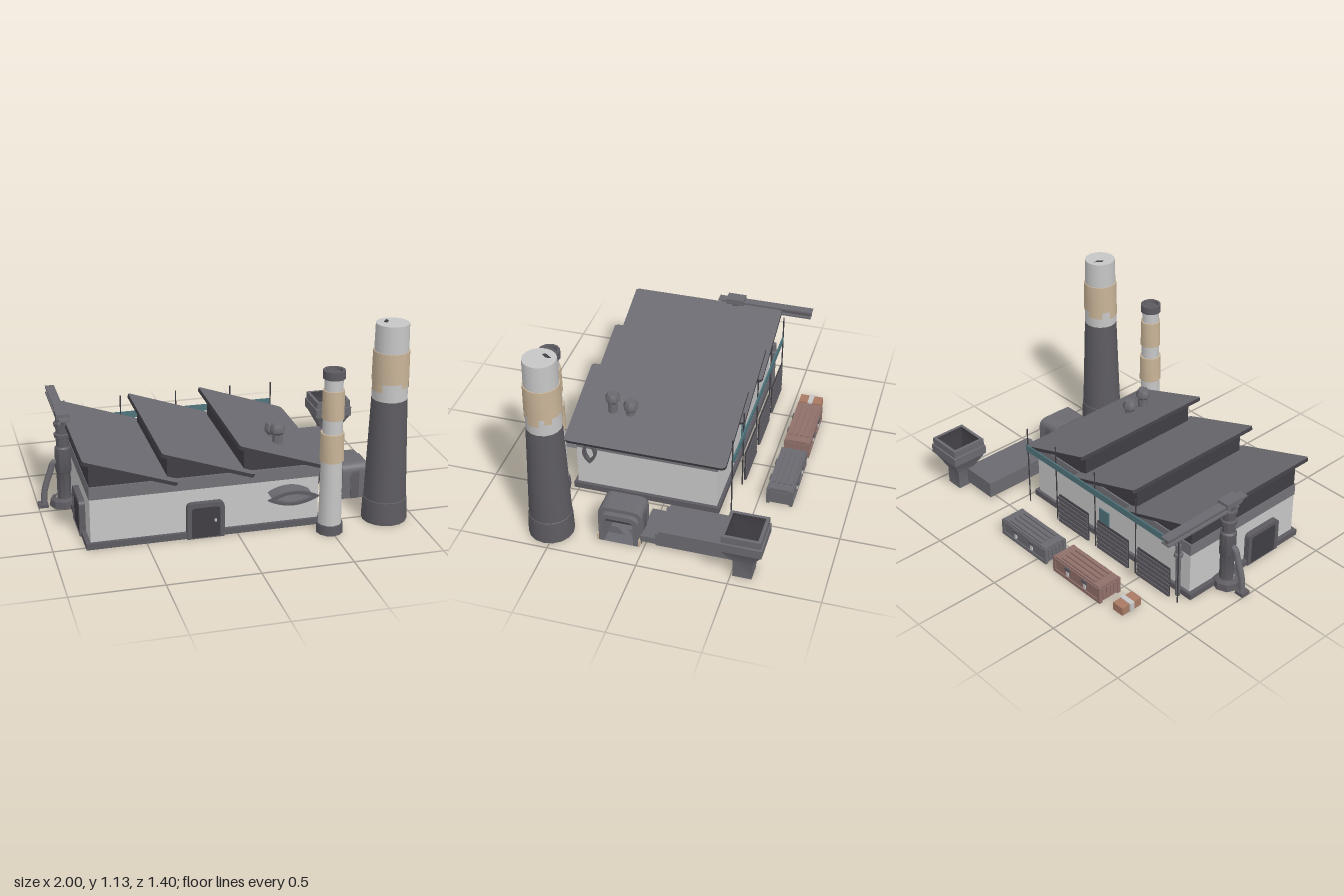
import * as THREE from 'three';
import { toCreasedNormals } from 'three/addons/utils/BufferGeometryUtils.js';

const mat = (name, color, extra = {}) => Object.assign(new THREE.MeshStandardMaterial({ color, ...extra }), { name });

export function createModel() {
  const root = new THREE.Group();
  root.name = 'factory';
  const light = mat('paleConcrete', 0xc6c6c7);
  const metal = mat('greyMetal', 0x6b6a70);
  const trim = mat('darkTrim', 0x5d5b61);
  const dark = mat('charcoal', 0x403e43);
  const band = mat('upperWallGrey', 0x737278);
  const beige = mat('beigePaint', 0xc9b498, { side: THREE.DoubleSide });
  const brown = mat('brownCrate', 0x90706a);
  const rust = mat('rustBrown', 0xa97a64);
  const teal = mat('tealPaint', 0x4f747c);

  const add = (name, geo, m, x = 0, y = 0, z = 0, parent = root) => {
    const mesh = new THREE.Mesh(geo, m);
    mesh.name = name;
    mesh.position.set(x, y, z);
    parent.add(mesh);
    return mesh;
  };
  const box = (name, m, x0, x1, y0, y1, z0, z1) =>
    add(name, new THREE.BoxGeometry(x1 - x0, y1 - y0, z1 - z0), m, (x0 + x1) / 2, (y0 + y1) / 2, (z0 + z1) / 2);
  const turned = (name, m, pts, x, z, seg = 14, phi = 0) => {
    const g = new THREE.LatheGeometry(pts.map(p => new THREE.Vector2(...p)), seg, phi);
    return add(name, toCreasedNormals(g, 0.6), m, x, 0, z);
  };
  const extrude = (shape, depth) =>
    toCreasedNormals(new THREE.ExtrudeGeometry(shape, { depth, bevelEnabled: false, curveSegments: 5 }), 0.6);
  const tube = (name, m, pts, r) =>
    add(name, new THREE.TubeGeometry(new THREE.CatmullRomCurve3(pts.map(p => new THREE.Vector3(...p))), 16, r, 8), m);
  // Outline with rounded upper corners, standing on y = 0
  const archPath = (path, w, h, r) => {
    path.moveTo(-w, 0); path.lineTo(w, 0); path.lineTo(w, h - r);
    path.quadraticCurveTo(w, h, w - r, h); path.lineTo(r - w, h);
    path.quadraticCurveTo(-w, h, -w, h - r); path.lineTo(-w, 0);
    return path;
  };
  const frame = (w, h, r, t, depth) => {
    const s = archPath(new THREE.Shape(), w, h, r);
    s.holes.push(archPath(new THREE.Path(), w - t, h - t, r * 0.6));
    return extrude(s, depth);
  };

  // Walls and skirting
  box('lowerWall', light, -0.8, 0.46, 0.02, 0.28, -0.3, 0.51);
  box('upperWall', band, -0.803, 0.463, 0.28, 0.352, -0.303, 0.513);
  box('skirting', trim, -0.825, 0.48, 0, 0.035, -0.318, 0.53);

  // Sawtooth gables and roof slabs
  const rise = 0.175, run = 0.51, pitch = Math.atan2(rise, run), slope = Math.hypot(rise, run);
  const saw = new THREE.Shape();
  saw.moveTo(-0.8, 0.345);
  for (let k = 0; k < 3; k++) {
    const x = -0.8 + 0.42 * k;
    saw.lineTo(x, 0.49);
    saw.lineTo(x + 0.42, 0.349);
  }
  saw.lineTo(0.46, 0.345);
  add('sawtoothGable', extrude(saw, 0.8), dark, 0, 0, -0.295);
  const slab = new THREE.Shape();
  const hw = 0.462, c = 0.03;
  slab.moveTo(0.01, -hw); slab.lineTo(slope - c, -hw);
  slab.quadraticCurveTo(slope, -hw, slope, c - hw); slab.lineTo(slope, hw - c);
  slab.quadraticCurveTo(slope, hw, slope - c, hw); slab.lineTo(0.01, hw);
  slab.lineTo(0, hw - 0.015); slab.lineTo(0, 0.015 - hw); slab.closePath();
  const slabGeo = new THREE.ExtrudeGeometry(slab, { depth: 0.02, bevelEnabled: false, curveSegments: 4 });
  slabGeo.rotateX(-Math.PI / 2).rotateZ(-pitch);
  for (let k = 0; k < 3; k++) add('roofSlab', slabGeo, [metal, dark], -0.845 + 0.42 * k, 0.507, 0.105);

  // Roof vents
  for (const [z, t] of [[0.355, 0.545], [0.25, 0.51]]) {
    turned('roofVent', metal, [[0.032, 0.4], [0.028, t - 0.06], [0.042, t - 0.045], [0.043, t - 0.025], [0.03, t], [0, t]], 0.27, z, 8);
  }

  // Front door and matching door on the right-hand wall
  add('doorFrame', frame(0.103, 0.206, 0.03, 0.025, 0.035), trim, -0.178, 0, 0.508);
  box('door', dark, -0.255, -0.1, 0.0, 0.185, 0.5, 0.532);
  box('doorHandle', light, -0.128, -0.118, 0.09, 0.105, 0.532, 0.539);
  add('sideDoorFrame', frame(0.12, 0.206, 0.03, 0.025, 0.035), trim, -0.798, 0, 0.24).rotation.y = -Math.PI / 2;
  box('sideDoor', dark, -0.828, -0.79, 0, 0.185, 0.143, 0.337);

  // Lens-shaped window hoods
  const lensPath = (p, w, h) => {
    p.moveTo(-w, 0); p.quadraticCurveTo(-w * 0.5, -h, 0, -h); p.quadraticCurveTo(w * 0.5, -h, w, 0);
    p.quadraticCurveTo(w * 0.5, h, 0, h); p.quadraticCurveTo(-w * 0.5, h, -w, 0);
    return p;
  };
  const lens = (w, h, depth) => {
    const s = lensPath(new THREE.Shape(), w, h);
    s.holes.push(lensPath(new THREE.Path(), w * 0.75, h * 0.62));
    return extrude(s, depth);
  };
  add('windowHood', lens(0.115, 0.034, 0.105), metal, 0.287, 0.215, 0.508);
  add('windowRim', lens(0.145, 0.04, 0.012), trim, 0.287, 0.215, 0.61);
  const sideLens = add('sideWindowRim', lens(0.075, 0.04, 0.03), trim, 0.458, 0.27, 0.43);
  sideLens.rotation.set(0, Math.PI / 2, Math.PI / 2, 'YXZ');

  // Large chimney
  const bx = 0.842, bz = 0.53;
  turned('chimneyBase', trim, [[0, 0], [0.126, 0], [0.121, 0.13], [0.112, 0.135]], bx, bz, 16);
  turned('chimneyShaft', trim, [[0.117, 0.13], [0.097, 0.71]], bx, bz, 16);
  turned('chimneyTop', light, [[0.097, 0.71], [0.09, 1.13], [0, 1.13]], bx, bz, 16);
  turned('chimneyBand', beige, [[0.094, 0.81], [0.1, 0.81], [0.098, 0.98], [0.09, 0.98]], bx, bz, 16);
  [[0.3, 0.5, 0.785], [1.0, 0.7, 0.765], [2.0, 0.4, 0.78], [3.2, 0.9, 0.77], [4.6, 0.9, 0.763]].forEach(([a, len, y]) =>
    add('paintDrip', new THREE.CylinderGeometry(0.1, 0.1, 0.812 - y, 5, 1, true, a, len), beige, bx, (0.812 + y) / 2, bz));
  const flue = new THREE.Shape([[-0.045, 0.03], [-0.015, -0.01], [-0.01, 0.02], [-0.035, 0.05]].map(p => new THREE.Vector2(p[0], -p[1])));
  add('flueSlot', new THREE.ShapeGeometry(flue).rotateX(-Math.PI / 2), dark, bx, 1.132, bz - 0.05);

  // Small chimney
  const sx = 0.492, sz = 0.622;
  turned('smallChimneyBase', trim, [[0, 0], [0.074, 0], [0.072, 0.055], [0.05, 0.055]], sx, sz, 12);
  turned('smallChimneyShaft', light, [[0.064, 0.055], [0.05, 0.885]], sx, sz, 12);
  for (const [y0, y1, r] of [[0.42, 0.58, 0.066], [0.66, 0.82, 0.061]])
    turned('smallChimneyBand', beige, [[0.045, y0], [r, y0], [r - 0.002, y1], [0.045, y1]], sx, sz, 12);
  turned('smallChimneyCap', trim, [[0.05, 0.882], [0.061, 0.885], [0.06, 0.93], [0.045, 0.93], [0.042, 0.915], [0, 0.915]], sx, sz, 12);

  // Arch machine beside the building
  const arch = (name, m, w, h, t, x0, x1) =>
    add(name, frame(w, h, 0.05, t, x1 - x0), m, x0, 0.002, 0.142).rotation.set(0, Math.PI / 2, 0);
  arch('archCore', metal, 0.11, 0.185, 0.028, 0.67, 0.86);
  arch('archShell', metal, 0.122, 0.208, 0.04, 0.69, 0.83);
  arch('archRib', trim, 0.126, 0.198, 0.03, 0.74, 0.79);
  box('archBeam', dark, 0.7, 0.82, 0.108, 0.16, 0.055, 0.229);
  for (const z of [0.024, 0.227]) for (const x of [0.675, 0.8])
    box('archFoot', beige, x, x + 0.058, 0, 0.04, z, z + 0.036);

  // Conveyor trough, open below, with a low lip at its front end
  box('conveyorTop', metal, 0.61, 0.84, 0.1, 0.118, -0.55, -0.08);
  for (const x of [0.61, 0.825]) box('conveyorSide', metal, x, x + 0.015, 0.02, 0.1, -0.55, -0.06);
  box('conveyorFront', metal, 0.625, 0.825, 0.03, 0.1, -0.08, -0.065);
  box('conveyorBack', metal, 0.625, 0.825, 0.02, 0.1, -0.55, -0.535);
  box('conveyorLip', metal, 0.61, 0.84, 0.028, 0.066, -0.08, 0.025);
  box('conveyorBelt', dark, 0.625, 0.825, 0.085, 0.1, -0.535, -0.08);

  // Square hopper, open right through
  const q = pts => pts.map(([r, y]) => [r * Math.SQRT2, y]);
  turned('hopperShell', metal, q([[0.052, 0], [0.052, 0.105], [0.108, 0.212], [0.113, 0.212], [0.113, 0.265],
    [0.106, 0.268], [0.106, 0.31], [0.088, 0.31]]), 0.882, -0.562, 4, Math.PI / 4);
  turned('hopperInside', dark, q([[0.088, 0.31], [0.088, 0.25], [0.035, 0.11], [0.035, 0], [0.052, 0]]), 0.882, -0.562, 4, Math.PI / 4);

  // Shipping crates
  const crate = (name, m, x0) => {
    const x1 = x0 + 0.385, z0 = -0.695, z1 = -0.545;
    box(name + 'Body', m, x0 + 0.006, x1 - 0.006, 0.005, 0.105, z0 + 0.006, z1 - 0.006);
    for (const y of [0, 0.075]) for (const z of [z0, z1 - 0.02]) box(name + 'Rail', m, x0, x1, y, y + 0.02, z, z + 0.02);
    for (const x of [x0, x1 - 0.02]) for (const z of [z0, z1 - 0.02]) box(name + 'Post', m, x, x + 0.02, 0, 0.1, z, z + 0.02);
    for (let i = 0; i < 4; i++) {
      box(name + 'TopRib', m, x0 + 0.055, x1 - 0.055, 0.104, 0.114, z0 + 0.018 + i * 0.032, z0 + 0.036 + i * 0.032);
      for (const x of [x0 + 0.001, x1 - 0.007])
        box(name + 'EndRib', m, x, x + 0.006, 0.02, 0.085, z0 + 0.027 + i * 0.026, z0 + 0.042 + i * 0.026);
    }
    for (const x of [x0 + 0.12, x0 + 0.26]) for (const z of [z0 - 0.005, z1 - 0.003]) {
      box(name + 'Clasp', light, x - 0.008, x + 0.008, 0.035, 0.085, z, z + 0.008);
      box(name + 'ClaspPlate', trim, x - 0.02, x + 0.02, 0.07, 0.09, z - 0.002, z + 0.01);
    }
  };
  crate('greyCrate', metal, -0.07);
  crate('brownCrate', brown, -0.52);
  box('smallCrate', rust, -0.672, -0.6, 0, 0.05, -0.67, -0.535);
  box('smallCrateStrap', light, -0.678, -0.594, 0, 0.054, -0.617, -0.588);

  // Rear screen: poles, teal rail and slatted shutters
  for (const x of [-0.79, -0.46, -0.13, 0.2, 0.45])
    add('pole', new THREE.CylinderGeometry(0.004, 0.004, 0.505, 6), dark, x, 0.2525, -0.38);
  box('tealRail', teal, -0.74, 0.455, 0.36, 0.4, -0.392, -0.384);
  for (const x of [-0.735, -0.41, -0.08]) {
    box('shutter', dark, x, x + 0.25, 0.01, 0.2, -0.39, -0.382);
    for (let i = 0; i < 6; i++) box('shutterSlat', trim, x, x + 0.25, 0.015 + i * 0.031, 0.036 + i * 0.031, -0.397, -0.389);
  }
  box('rearDoor', teal, -0.16, -0.08, 0.035, 0.2, -0.307, -0.299);

  // Drainpipe at the rear corner
  turned('drainpipe', metal, [[0.014, 0], [0.014, 0.26], [0.025, 0.265], [0.025, 0.285], [0.016, 0.29], [0.016, 0.34], [0, 0.34]], -0.745, -0.335, 8);

  // Ringed pump column with a bent outlet pipe
  turned('pumpBase', trim, [[0, 0], [0.08, 0], [0.075, 0.04], [0.045, 0.05]], -0.855, -0.07, 8);
  turned('pumpColumn', trim, [[0.04, 0.03], [0.04, 0.2], [0.046, 0.21], [0.046, 0.35], [0.036, 0.36], [0.036, 0.41], [0.046, 0.415],
    [0.046, 0.435], [0.036, 0.44], [0.036, 0.475], [0.046, 0.48], [0.046, 0.5], [0.034, 0.505], [0.034, 0.55], [0, 0.55]], -0.85, -0.07, 10);
  tube('outletPipe', metal, [[-0.87, 0.27, -0.07], [-0.905, 0.262, -0.07], [-0.925, 0.21, -0.07], [-0.96, 0.1, -0.07], [-0.968, 0.02, -0.07]], 0.018);
  box('outletFoot', trim, -1, -0.945, 0, 0.02, -0.1, -0.042);

  // Overhead crane beam and trolley
  box('craneTopFlange', metal, -0.875, -0.822, 0.538, 0.548, -0.54, 0.038);
  box('craneWeb', trim, -0.858, -0.838, 0.51, 0.54, -0.53, 0.03);
  box('craneBottomFlange', metal, -0.875, -0.822, 0.502, 0.512, -0.535, -0.02);
  box('craneTrolley', metal, -0.885, -0.812, 0.53, 0.565, -0.122, -0.012);
  return root;
}
